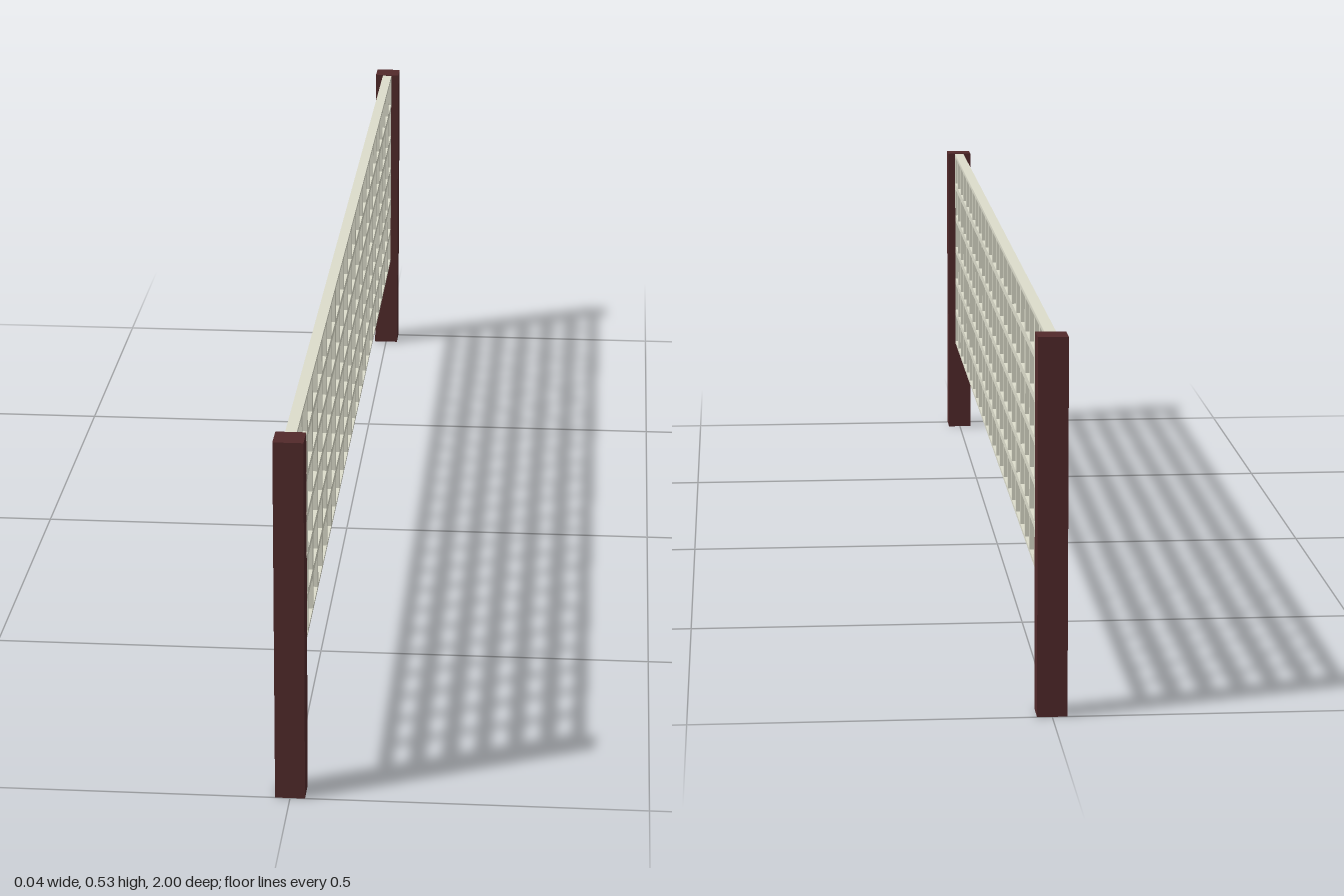
import * as THREE from 'three';

const HEIGHT = 0.53;      // post height, also top of the lattice
const POST = 0.042;       // square post side
const COLS = 24, ROWS = 6;
const BAR = 0.011;        // bar width between two openings
const DEPTH = 0.016;      // lattice thickness

export function createModel() {
  const group = new THREE.Group();
  group.name = 'latticeFence';
  const wood = new THREE.MeshStandardMaterial({ color: 0x522a2b });
  const cream = new THREE.MeshStandardMaterial({ color: 0xdcdccb });

  // End posts
  const postGeometry = new THREE.BoxGeometry(POST, HEIGHT, POST);
  for (const side of [1, -1]) {
    const post = new THREE.Mesh(postGeometry, wood);
    post.name = side > 0 ? 'frontPost' : 'backPost';
    post.position.set(0, HEIGHT / 2, side * (1 - POST / 2));
    group.add(post);
  }

  // Lattice: a panel pierced by a grid of openings, half bars at its rim
  const half = 1 - POST, bottom = 0.163;
  const rect = (target, x0, y0, x1, y1) => {
    target.moveTo(x0, y0).lineTo(x1, y0).lineTo(x1, y1).lineTo(x0, y1).closePath();
    return target;
  };
  const panel = rect(new THREE.Shape(), -half, bottom, half, HEIGHT - 0.001);
  const w = 2 * half / COLS, h = (HEIGHT - 0.001 - bottom) / ROWS;
  for (let i = 0; i < COLS; i++) {
    for (let j = 0; j < ROWS; j++) {
      const x = -half + i * w, y = bottom + j * h;
      panel.holes.push(rect(new THREE.Path(),
        x + BAR / 2, y + BAR / 2, x + w - BAR / 2, y + h - BAR / 2));
    }
  }
  const geometry = new THREE.ExtrudeGeometry(panel, { depth: DEPTH, bevelEnabled: false });
  geometry.translate(0, 0, -DEPTH / 2);
  geometry.rotateY(Math.PI / 2);
  const lattice = new THREE.Mesh(geometry, cream);
  lattice.name = 'lattice';
  group.add(lattice);

  return group;
}
